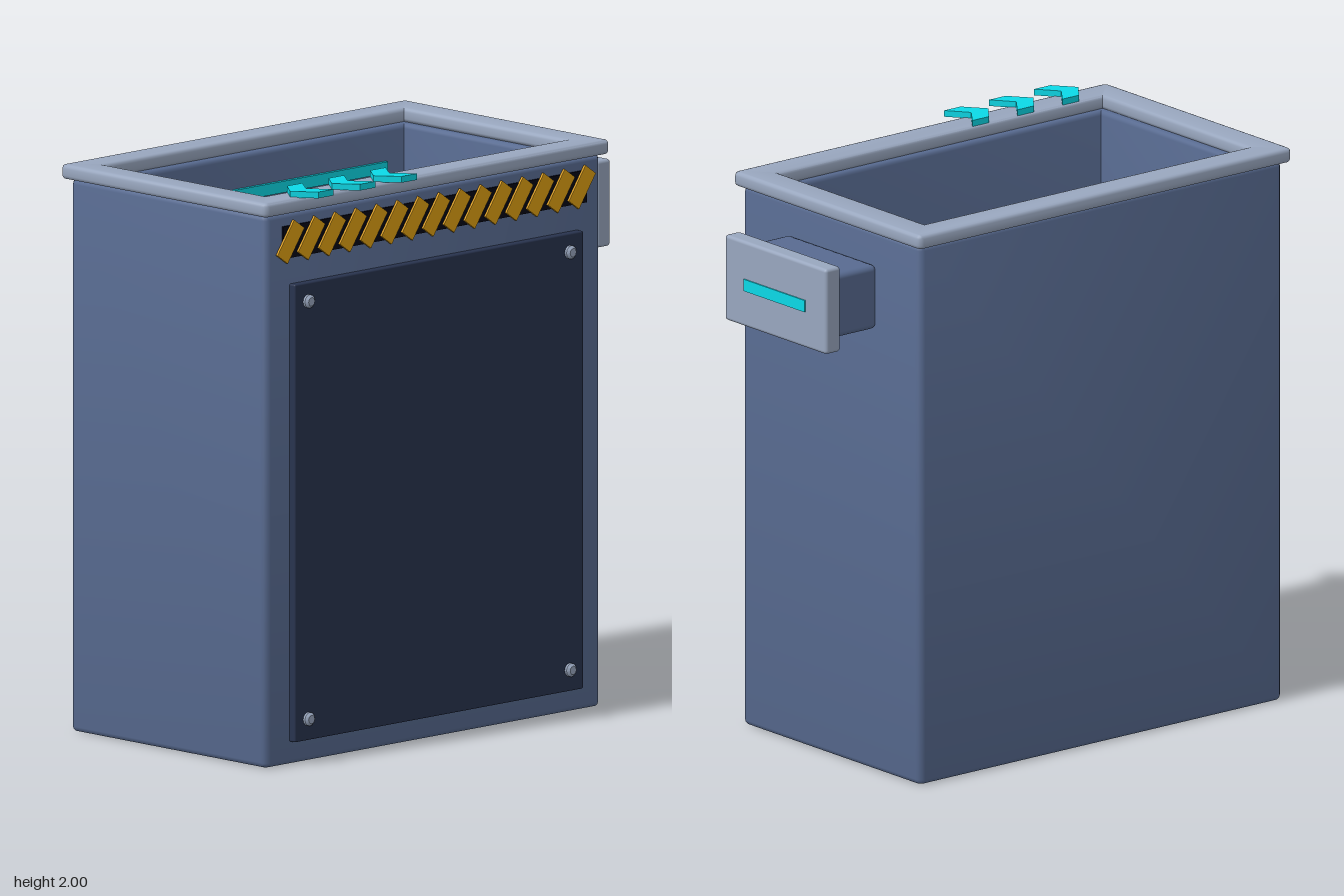
import * as THREE from 'three';
import { RoundedBoxGeometry } from 'three/addons/geometries/RoundedBoxGeometry.js';
import { toCreasedNormals } from 'three/addons/utils/BufferGeometryUtils.js';

const mat = (name, color) => {
  const m = new THREE.MeshStandardMaterial({ color });
  m.name = name;
  return m;
};

export function createModel() {
  const model = new THREE.Group();
  model.name = 'wasteBin';
  const blue = mat('blueSteel', 0x586b91);
  const grey = mat('lightGreyMetal', 0x99a7bf);
  const navy = mat('darkPanel', 0x28334e);
  const black = mat('blackInterior', 0x020214);
  const orange = mat('hazardOrange', 0xe2a212);
  const cyan = mat('cyanGlow', 0x0cdae8);
  black.side = THREE.DoubleSide;

  const add = (name, geometry, material, parent = model) => {
    const mesh = new THREE.Mesh(geometry, material);
    mesh.name = name;
    parent.add(mesh);
    return mesh;
  };
  const group = (name) => {
    const g = new THREE.Group();
    g.name = name;
    model.add(g);
    return g;
  };
  // Box given by its limits on each axis; r rounds the edges
  const box = (name, material, [x0, x1], [y0, y1], [z0, z1], r = 0, parent = model) => {
    const s = [x1 - x0, y1 - y0, z1 - z0];
    const g = r ? new RoundedBoxGeometry(...s, 2, r) : new THREE.BoxGeometry(...s);
    g.translate((x0 + x1) / 2, (y0 + y1) / 2, (z0 + z1) / 2);
    return add(name, g, material, parent);
  };
  // Rectangle outline with small rounded corners
  const outline = (path, [x0, x1], [z0, z1], r) => {
    const a = -z1, b = -z0;
    path.moveTo(x0 + r, a);
    path.lineTo(x1 - r, a).quadraticCurveTo(x1, a, x1, a + r);
    path.lineTo(x1, b - r).quadraticCurveTo(x1, b, x1 - r, b);
    path.lineTo(x0 + r, b).quadraticCurveTo(x0, b, x0, b - r);
    path.lineTo(x0, a + r).quadraticCurveTo(x0, a, x0 + r, a);
    return path;
  };
  // Upright rectangular tube with bevelled edges
  const frame = (name, material, x, z, ix, iz, y0, y1, b) => {
    const inset = ([lo, hi], d) => [lo + d, hi - d];
    const shape = outline(new THREE.Shape(), inset(x, b), inset(z, b), 0.008);
    shape.holes.push(outline(new THREE.Path(), inset(ix, -b), inset(iz, -b), 0.004));
    const g = new THREE.ExtrudeGeometry(shape, {
      depth: y1 - y0 - 2 * b, bevelSize: b, bevelThickness: b, bevelSegments: 3, curveSegments: 3,
    });
    g.rotateX(-Math.PI / 2).translate(0, y0 + b, 0);
    return add(name, toCreasedNormals(g, 0.7), material);
  };

  // Hollow body and top rim
  frame('body', blue, [-0.925, 0.688], [-0.498, 0.46], [-0.825, 0.588], [-0.405, 0.362], 0, 1.93, 0.018);
  frame('rim', grey, [-0.945, 0.713], [-0.527, 0.481], [-0.838, 0.601], [-0.418, 0.37], 1.929, 1.98, 0.014);

  // Dark sheet that closes off the interior
  const sheet = new THREE.PlaneGeometry(1.42, 0.775).rotateX(-Math.PI / 2);
  sheet.translate(-0.118, 0.95, -0.021);
  add('interiorFloor', sheet, black);

  // Two bottom plates with a gap between them
  for (const s of [-1, 1]) {
    const xs = [-0.118 + s * 0.43, -0.118 + s * 0.715].sort((a, b) => a - b);
    box(s < 0 ? 'rightFloorPlate' : 'leftFloorPlate', grey, xs, [0.01, 0.04], [-0.41, 0.367]);
  }

  // Front panel with four chamfered corner bolts
  box('frontPanel', navy, [-0.81, 0.577], [0.08, 1.68], [0.45, 0.487], 0.006);
  const bolts = group('panelBolts');
  const boltProfile = [[0.024, 0], [0.024, 0.01], [0.015, 0.019], [0, 0.019]]
    .map(([x, y]) => new THREE.Vector2(x, y));
  for (const x of [-0.747, 0.51]) {
    for (const y of [0.155, 1.615]) {
      const g = toCreasedNormals(new THREE.LatheGeometry(boltProfile, 12).rotateX(Math.PI / 2), 0.6);
      add('bolt', g, grey, bolts).position.set(x, y, 0.486);
    }
  }

  // Hazard band with slanted stripes
  box('hazardBand', black, [-0.845, 0.612], [1.772, 1.885], [0.455, 0.467]);
  const stripes = group('hazardStripes');
  for (let i = 0; i < 15; i++) {
    const s = add('hazardStripe', new THREE.BoxGeometry(0.06, 0.14, 0.009), orange, stripes);
    s.position.set(-0.817 + i * 0.1, 1.83, 0.4705);
    s.rotation.z = -0.61;
  }

  // Chevron arrows on the front of the rim
  const chevron = new THREE.Shape([
    [-0.068, 0], [-0.008, -0.077], [0.066, -0.077], [0.008, 0], [0.066, 0.077], [-0.008, 0.077],
  ].map(([x, y]) => new THREE.Vector2(x, y)));
  const arrows = group('rimArrows');
  for (const x of [-0.728, -0.528, -0.328]) {
    const g = new THREE.ExtrudeGeometry(chevron, { depth: 0.022, bevelEnabled: false }).rotateX(-Math.PI / 2);
    add('arrow', g, cyan, arrows).position.set(x, 1.978, 0.449);
  }

  // Side handle: neck, end plate and light strip
  const handle = group('sideHandle');
  box('handleNeck', blue, [0.684, 0.9], [1.583, 1.812], [-0.265, 0.212], 0.02, handle);
  box('handlePlate', grey, [0.873, 0.94], [1.545, 1.85], [-0.297, 0.251], 0.012, handle);
  box('handleLight', cyan, [0.936, 0.945], [1.674, 1.716], [-0.187, 0.142], 0, handle);

  // Light strip on the inner back wall
  box('interiorLight', cyan, [-0.735, 0.5], [1.77, 1.81], [-0.41, -0.392]);

  return model;
}
